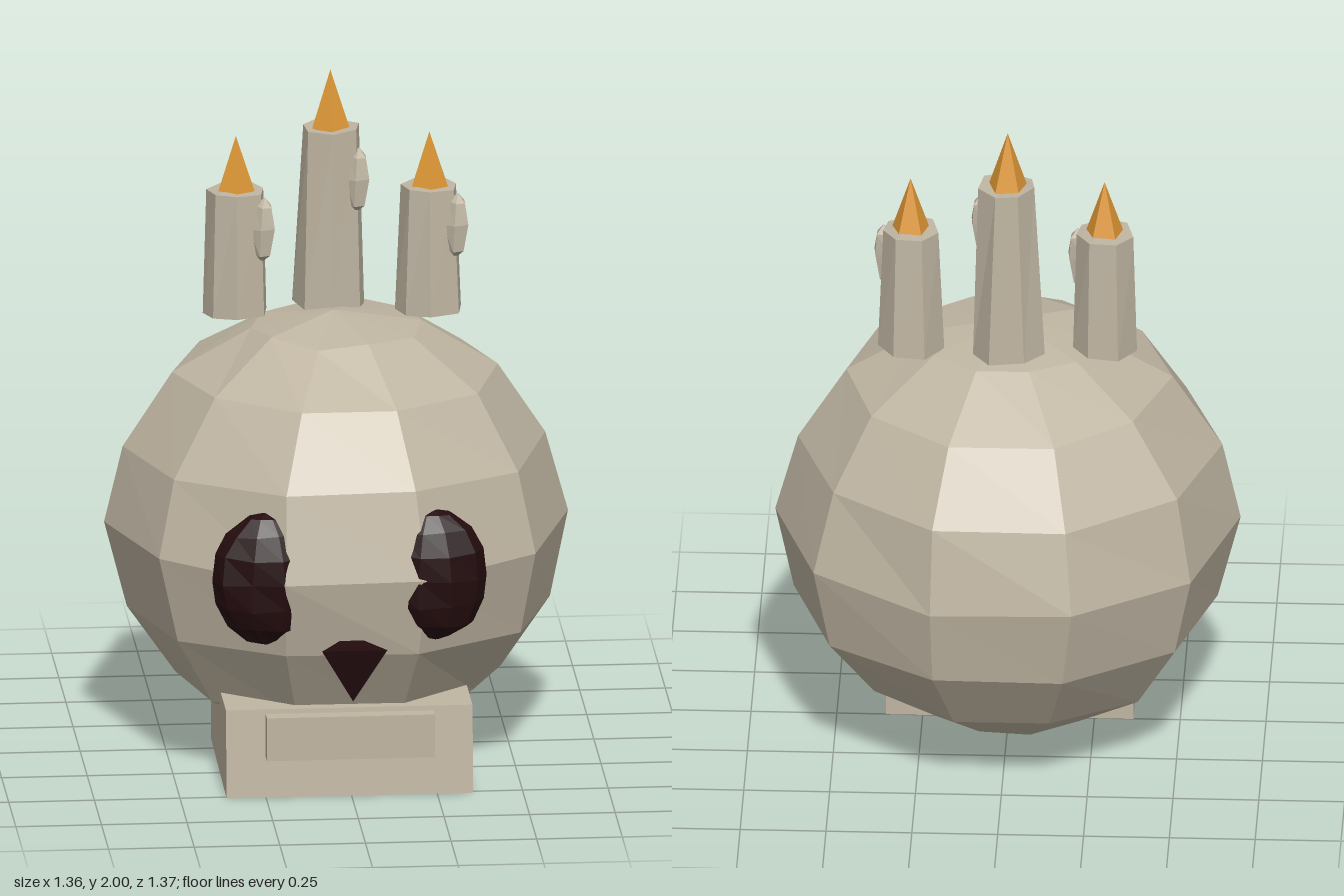
import * as THREE from 'three';

const bone = new THREE.MeshStandardMaterial({ color: 0xbfb5a2, flatShading: true });
bone.name = 'bone';
const socket = new THREE.MeshStandardMaterial({ color: 0x240c0e, flatShading: true });
socket.name = 'dark socket';
const flameColor = new THREE.MeshStandardMaterial({ color: 0xdc9635, flatShading: true });
flameColor.name = 'flame orange';

// Nudges vertices by a rule of their position, so shared corners stay together
function roughen(geometry, amount) {
  const p = geometry.attributes.position;
  for (let i = 0; i < p.count; i++) {
    const [x, y, z] = [p.getX(i), p.getY(i), p.getZ(i)].map(v => Math.round(v * 1000) / 1000);
    p.setXYZ(i,
      x + amount * Math.sin(x * 31 + y * 17 + z * 23),
      y + amount * Math.sin(x * 19 + y * 37 + z * 11 + 1),
      z + amount * Math.sin(x * 13 + y * 29 + z * 41 + 2));
  }
  return geometry;
}

function add(parent, name, geometry, material, x, y, z) {
  const mesh = new THREE.Mesh(geometry, material);
  mesh.name = name;
  mesh.position.set(x, y, z);
  parent.add(mesh);
  return mesh;
}

const ellipsoid = (rx, ry, rz, around, down) =>
  new THREE.SphereGeometry(1, around, down).scale(rx, ry, rz);

// Tapered candle with a wax drip and a faceted flame
function candle(name, x, z, bottom, top, r0, r1, flameTop, dripY) {
  const group = new THREE.Group();
  group.name = name;
  group.position.set(x, 0, z);
  const h = top - bottom;
  add(group, 'wax', roughen(new THREE.CylinderGeometry(r1, r0, h, 7), 0.005), bone, 0, bottom + h / 2, 0);
  add(group, 'drip', roughen(ellipsoid(0.035, 0.1, 0.04, 5, 4), 0.005), bone, 0.075, dripY, 0.05);
  const fh = flameTop - top + 0.01;
  add(group, 'flame', new THREE.ConeGeometry(0.06, fh, 5), flameColor, 0, flameTop - fh / 2, 0);
  return group;
}

export function createModel() {
  const model = new THREE.Group();
  model.name = 'candleSkull';

  // Faceted cranium
  add(model, 'cranium', roughen(ellipsoid(0.67, 0.64, 0.685, 10, 8), 0.008), bone, 0, 0.68, -0.03);

  // Jaw block, front leaning back and underside rising to the rear
  const jaw = new THREE.BoxGeometry(0.72, 0.26, 0.53);
  const p = jaw.attributes.position;
  for (let i = 0; i < p.count; i++) {
    const low = p.getY(i) < 0, front = p.getZ(i) > 0;
    if (low && front) p.setZ(i, p.getZ(i) + 0.025);
    if (low && !front) p.setY(i, p.getY(i) + 0.02);
  }
  add(model, 'jaw', jaw, bone, -0.005, 0.13, 0.225);
  add(model, 'teeth', new THREE.BoxGeometry(0.49, 0.13, 0.045), bone, -0.005, 0.185, 0.525);

  // Bulging eye sockets
  for (const [name, x] of [['rightEye', -0.25], ['leftEye', 0.235]]) {
    add(model, name, roughen(ellipsoid(0.162, 0.2, 0.098, 10, 8), 0.004), socket, x, 0.67, 0.53);
  }

  // Three-sided nose pointing down, flat side forward
  const nose = new THREE.ConeGeometry(0.11, 0.17, 3).rotateX(Math.PI);
  add(model, 'nose', nose, socket, -0.005, 0.405, 0.63);

  // Candles on the crown
  model.add(candle('middleCandle', -0.005, -0.175, 1.29, 1.83, 0.108, 0.085, 2.0, 1.68));
  model.add(candle('rightCandle', -0.285, -0.125, 1.285, 1.655, 0.096, 0.087, 1.82, 1.55));
  model.add(candle('leftCandle', 0.28, -0.125, 1.28, 1.655, 0.1, 0.085, 1.82, 1.55));
  return model;
}
